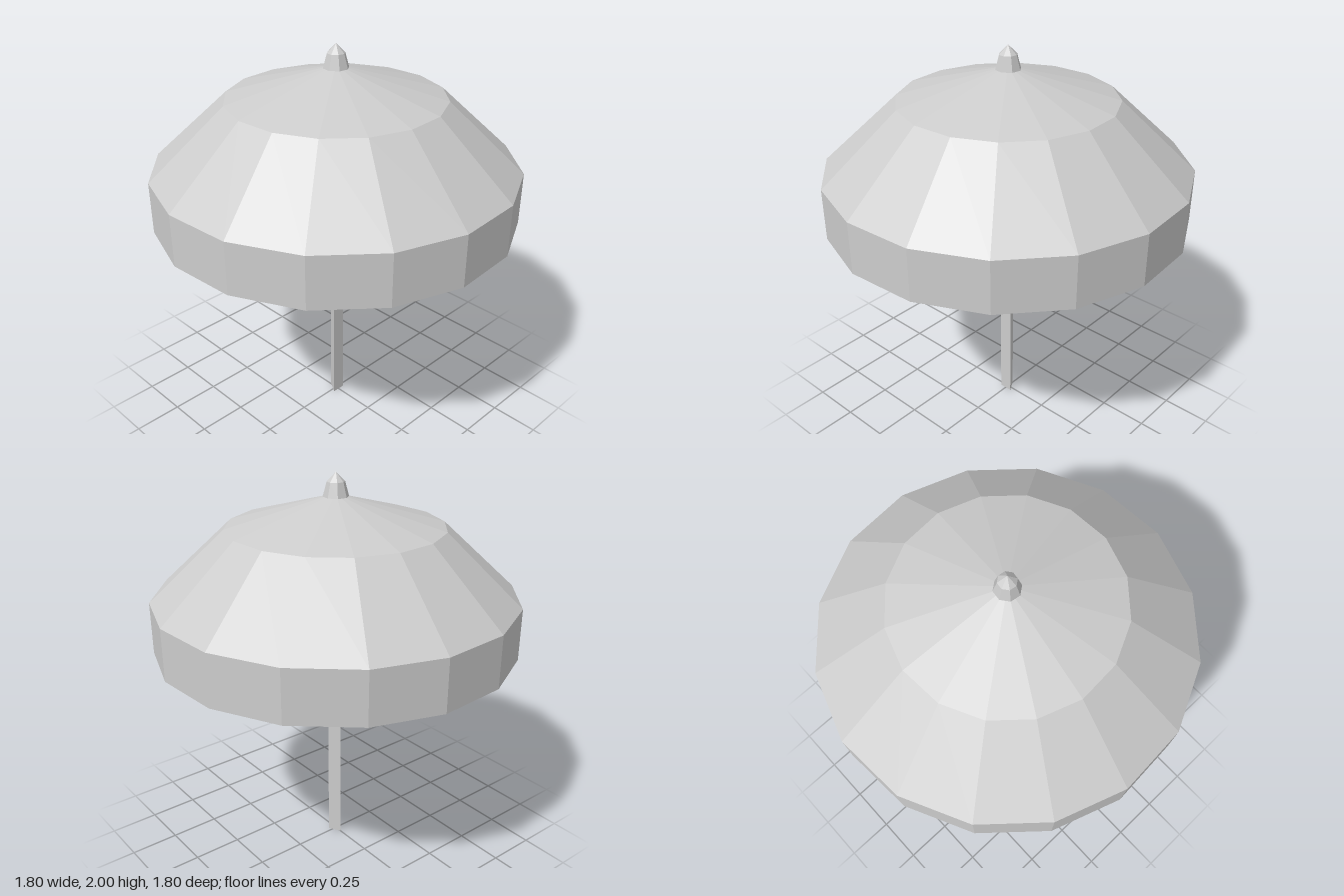
import * as THREE from 'three';

const TWIST = THREE.MathUtils.degToRad(14.9);

export function createModel() {
  const group = new THREE.Group();
  const grey = new THREE.MeshStandardMaterial({ color: 0xcccccc, flatShading: true, side: THREE.DoubleSide });
  grey.name = 'light grey';

  const add = (name, geometry) => {
    const mesh = new THREE.Mesh(geometry, grey);
    mesh.name = name;
    group.add(mesh);
    return mesh;
  };
  // faceted shell turned from a profile of [radius, height] points
  const turned = (profile, sides) =>
    new THREE.LatheGeometry(profile.map(([r, y]) => new THREE.Vector2(r, y)), sides, TWIST);

  // sixteen-sided open canopy and its hanging valance
  add('canopy', turned([[0.908, 1.4], [0.535, 1.745], [0, 1.9]], 16));
  add('valance', turned([[0.908, 1.14], [0.908, 1.4]], 16));

  // eight-sided pointed cap
  add('finial', turned([[0.063, 1.885], [0.044, 1.955], [0, 2]], 8));

  // three-sided pole, ending just inside the canopy
  const poleHeight = 1.22;
  const pole = add('pole', new THREE.CylinderGeometry(0.04, 0.04, poleHeight, 3, 1, false, -Math.PI / 2));
  pole.position.y = poleHeight / 2;

  return group;
}
